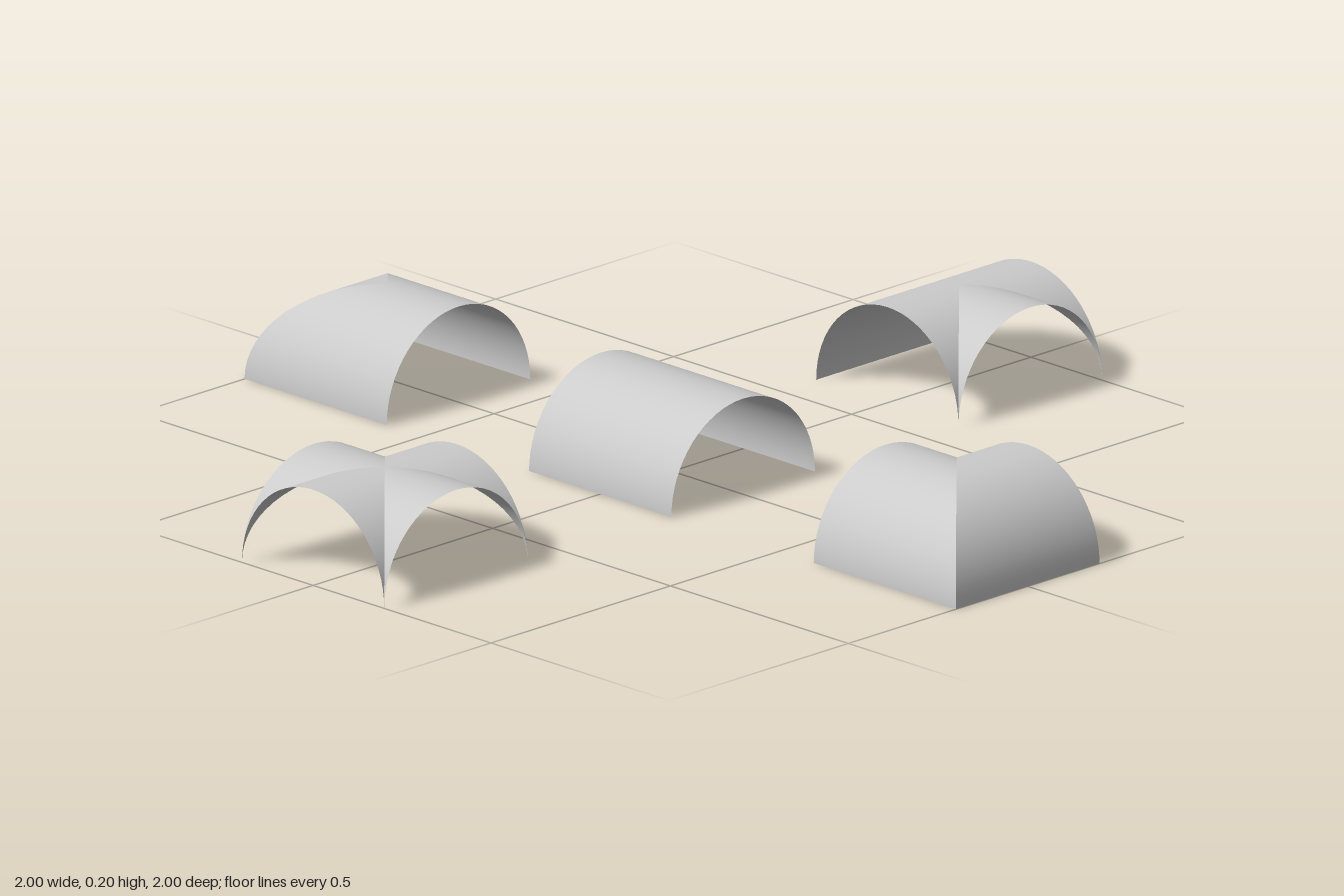
import * as THREE from 'three';

const R = 0.2;        // vault radius and half bay width
const SPACING = 0.8;  // distance from the middle bay to the others
const SEGMENTS = 32;  // sides across a full half circle

const material = new THREE.MeshStandardMaterial({ color: 0xcccccc, side: THREE.DoubleSide });

// Half-round shell running along z, trimmed at each u (position across) to lo(u)..hi(u),
// then turned about y by quarter turns. from = 0 keeps only the u > 0 half.
function shell(name, quarterTurns, lo, hi, from = -1) {
  const segments = from < 0 ? SEGMENTS : SEGMENTS / 2;
  const geometry = new THREE.PlaneGeometry(1, 1, segments, 1);
  const pos = geometry.attributes.position;
  const normal = geometry.attributes.normal;
  const start = from < 0 ? Math.PI : Math.PI / 2;
  for (let i = 0; i < pos.count; i++) {
    const angle = start * (0.5 - pos.getX(i));
    const c = Math.cos(angle), s = Math.sin(angle);
    const u = R * c;
    pos.setXYZ(i, u, R * s, pos.getY(i) > 0 ? lo(u) : hi(u));
    normal.setXYZ(i, c, s, 0);
  }
  const mesh = new THREE.Mesh(geometry, material);
  mesh.name = name;
  mesh.rotation.y = quarterTurns * Math.PI / 2;
  return mesh;
}

function bay(name, x, z, shells) {
  const group = new THREE.Group();
  group.name = name;
  group.position.set(x, 0, z);
  group.add(...shells);
  return group;
}

export function createModel() {
  const model = new THREE.Group();
  model.name = 'vaultSet';
  const end = () => R;
  const start = () => -R;
  const groin = (u) => Math.abs(u);

  // Plain barrel, open at both ends
  model.add(bay('straightVault', 0, 0, [shell('barrel', 0, start, end)]));

  // Four-way groin vault
  model.add(bay('crossVault', -SPACING, 0,
    [0, 1, 2, 3].map((k) => shell('arch' + (k + 1), k, groin, end))));

  // Barrel along x with one branch opening to the front
  model.add(bay('teeVault', SPACING, 0, [
    shell('frontArch', 0, groin, end),
    shell('leftBarrel', 1, (u) => Math.max(0, -u), end),
    shell('rightBarrel', -1, (u) => Math.max(0, u), end),
  ]));

  // Barrel closed by a hipped curve at the back
  model.add(bay('endVault', 0, -SPACING, [
    shell('barrel', 0, (u) => -Math.abs(u), end),
    shell('hip', 1, (u) => -u, (u) => u, 0),
  ]));

  // Two barrels mitred into a corner, open to the back and the left
  model.add(bay('cornerVault', 0, SPACING, [
    shell('backBarrel', 0, start, (u) => -u),
    shell('leftBarrel', 1, (u) => u, end),
  ]));

  return model;
}
